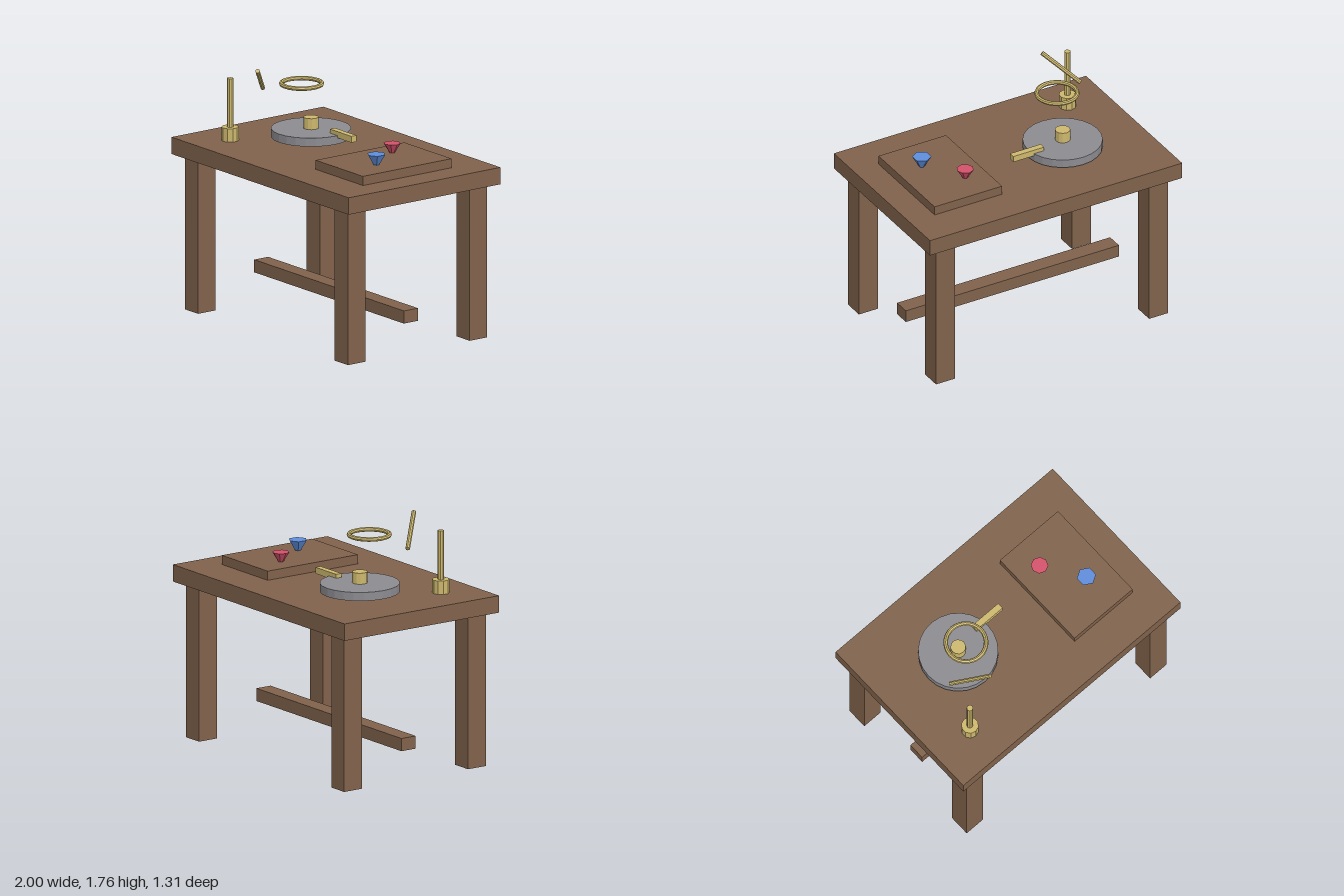
import * as THREE from 'three';

const paint = (color) => new THREE.MeshStandardMaterial({ color, flatShading: true });

export function createModel() {
  const model = new THREE.Group();
  const wood = paint(0x80624b);
  const brass = paint(0xcdb86e);
  const steel = paint(0x8c8c91);
  const red = paint(0xd4526a);
  const blue = paint(0x5f8edc);

  const add = (name, geometry, material, x, y, z) => {
    const mesh = new THREE.Mesh(geometry, material);
    mesh.name = name;
    mesh.position.set(x, y, z);
    model.add(mesh);
    return mesh;
  };
  // Box given by its centre in x and z and its bottom and top heights
  const box = (name, material, w, d, x, z, y0, y1) =>
    add(name, new THREE.BoxGeometry(w, y1 - y0, d), material, x, (y0 + y1) / 2, z);
  // Upright round part between two heights
  const round = (name, material, rTop, rBottom, sides, x, z, y0, y1) =>
    add(name, new THREE.CylinderGeometry(rTop, rBottom, y1 - y0, sides), material, x, (y0 + y1) / 2, z);

  // Table
  const top = 1.215;
  box('tableTop', wood, 2, 1.31, 0, 0, 1.095, top);
  for (const [sx, side] of [[1, 'left'], [-1, 'right']]) {
    for (const [sz, end] of [[1, 'Front'], [-1, 'Back']]) {
      box(`${side}${end}Leg`, wood, 0.15, 0.15, sx * 0.845, sz * 0.525, 0, 1.095);
    }
  }
  box('stretcher', wood, 1.69, 0.12, 0, 0, 0.19, 0.28);

  // Grinding wheel with hub and crank
  round('wheel', steel, 0.275, 0.275, 24, -0.387, -0.08, 1.232, 1.292);
  round('hub', brass, 0.053, 0.053, 12, -0.387, -0.08, top, 1.37);
  box('crankHandle', brass, 0.242, 0.045, -0.08, -0.123, 1.275, 1.32);

  // Post with a wide foot
  round('postFoot', brass, 0.06, 0.06, 10, -0.695, 0.383, top, 1.31);
  round('post', brass, 0.0225, 0.0225, 8, -0.695, 0.383, top, 1.655);

  // Ring and slanted rod above the table
  const ring = add('ring', new THREE.TorusGeometry(0.139, 0.016, 8, 28), brass, -0.388, 1.62, 0);
  ring.rotation.x = Math.PI / 2;
  const rod = add('slantedRod', new THREE.CylinderGeometry(0.016, 0.016, 0.335, 8), brass, -0.555, 1.65, 0.23);
  rod.quaternion.setFromUnitVectors(
    new THREE.Vector3(0, 1, 0), new THREE.Vector3(1, 1, 1).normalize());

  // Tray with two cut gems, points sunk into it
  box('tray', wood, 0.535, 0.765, 0.537, 0, top, 1.28);
  round('redGem', red, 0.06, 0, 8, 0.43, -0.155, 1.25, 1.348);
  round('blueGem', blue, 0.067, 0, 6, 0.613, 0.122, 1.245, 1.355);

  return model;
}
